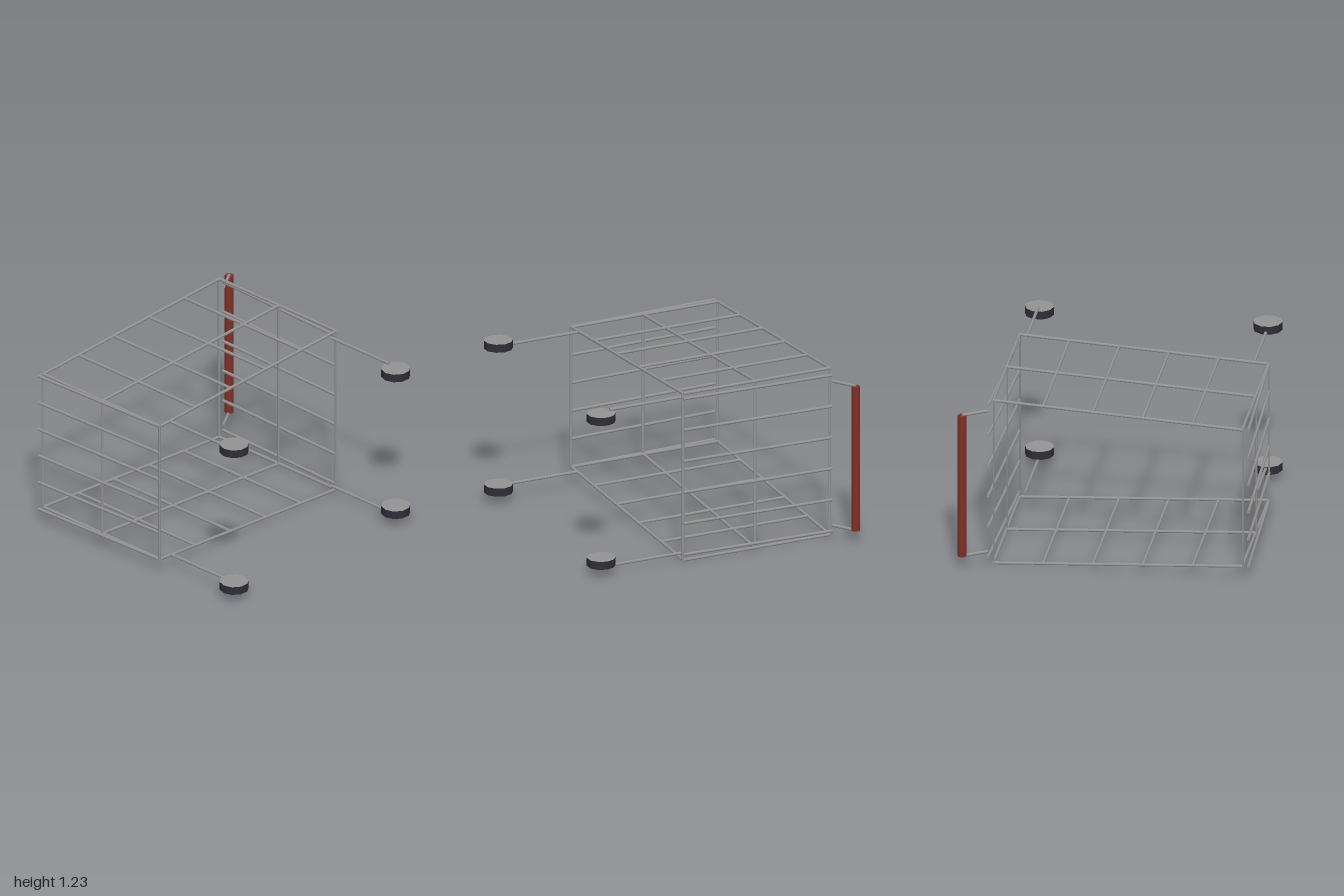
import * as THREE from 'three';

const MID = 0.62; // mirror plane height of the tipped-over cart
const R = 0.011;  // wire radius

export function createModel() {
  const steel = new THREE.MeshStandardMaterial({ color: 0x939393 });
  steel.name = 'steel grey';
  const rubber = new THREE.MeshStandardMaterial({ color: 0x302d38 });
  rubber.name = 'dark rubber';
  const grip = new THREE.MeshStandardMaterial({ color: 0x803028 });
  grip.name = 'red grip';

  const model = new THREE.Group();
  model.name = 'cart';
  const part = (name) => {
    const g = new THREE.Group();
    g.name = name;
    model.add(g);
    return g;
  };

  // Round rod between two points; flat squeezes it along z
  const rod = (parent, name, a, b, r = R, material = steel, flat = 1) => {
    const from = new THREE.Vector3(...a), to = new THREE.Vector3(...b);
    const dir = to.clone().sub(from);
    const mesh = new THREE.Mesh(new THREE.CylinderGeometry(r, r, dir.length(), 8), material);
    mesh.quaternion.setFromUnitVectors(new THREE.Vector3(0, 1, 0), dir.normalize());
    mesh.position.copy(from).add(to).multiplyScalar(0.5);
    mesh.scale.z = flat;
    mesh.name = name;
    parent.add(mesh);
  };

  const x0 = -0.84, x1 = 0.27, zFront = 0.945, zBack = -0.77;
  const hFront = 0.508, hBack = 0.605; // half heights of the basket ends
  const columns = [x0, -0.275, x1];
  const lerp = THREE.MathUtils.lerp;

  // Tapered basket sides, mirrored above and below the middle
  for (const s of [1, -1]) {
    const side = part(s > 0 ? 'upperBasketSide' : 'lowerBasketSide');
    for (const x of columns)
      rod(side, 'longWire', [x, MID + s * hFront, zFront], [x, MID + s * hBack, zBack]);
    for (let i = 0; i < 6; i++) {
      const t = i / 5, y = MID + s * lerp(hFront, hBack, t), z = lerp(zFront, zBack, t);
      rod(side, 'crossWire', [x0, y, z], [x1, y, z]);
    }
  }

  // Basket ends: upright wires and slightly splayed cross wires
  const ends = [
    { name: 'basketFront', z: 0.95, h: hFront, rows: hFront, zOpen: 0.987, zBase: 0.95, flat: 0.7 },
    { name: 'basketBack', z: -0.766, h: hBack, rows: 0.566, zOpen: -0.807, zBase: -0.77, flat: 0.5 },
  ];
  for (const e of ends) {
    const end = part(e.name);
    for (const x of columns)
      rod(end, 'uprightWire', [x, MID - e.h, e.z], [x, MID + e.h, e.z], R, steel, e.flat);
    for (let i = 0; i < 6; i++) {
      const y = MID + lerp(-e.rows, e.rows, i / 5);
      rod(end, 'crossWire', [x0, y, e.zOpen], [x1, y, e.zBase]);
    }
  }

  // Legs and ten-sided wheels with grey faces
  const wheelGeometry = new THREE.CylinderGeometry(0.1, 0.1, 0.058, 10);
  for (const s of [1, -1]) {
    for (const [z, h] of [[0.843, 0.507], [-0.73, 0.566]]) {
      const leg = part(z > 0 ? 'frontLeg' : 'backLeg');
      rod(leg, 'legRod', [x1, MID + s * h, z], [0.81, MID + s * h, z]);
      const wheel = new THREE.Mesh(wheelGeometry, [rubber, steel, steel]);
      wheel.position.set(0.875, MID + s * 0.523, z);
      wheel.name = 'wheel';
      leg.add(wheel);
    }
  }

  // Push handle on two bent-out arms
  const handle = part('handle');
  for (const s of [1, -1])
    rod(handle, 'handleArm', [x0, MID + s * 0.524, -0.81], [-0.94, MID + s * 0.524, -0.968]);
  rod(handle, 'handleGrip', [-0.94, MID - 0.523, -0.968], [-0.94, MID + 0.523, -0.968], 0.031, grip);

  return model;
}
